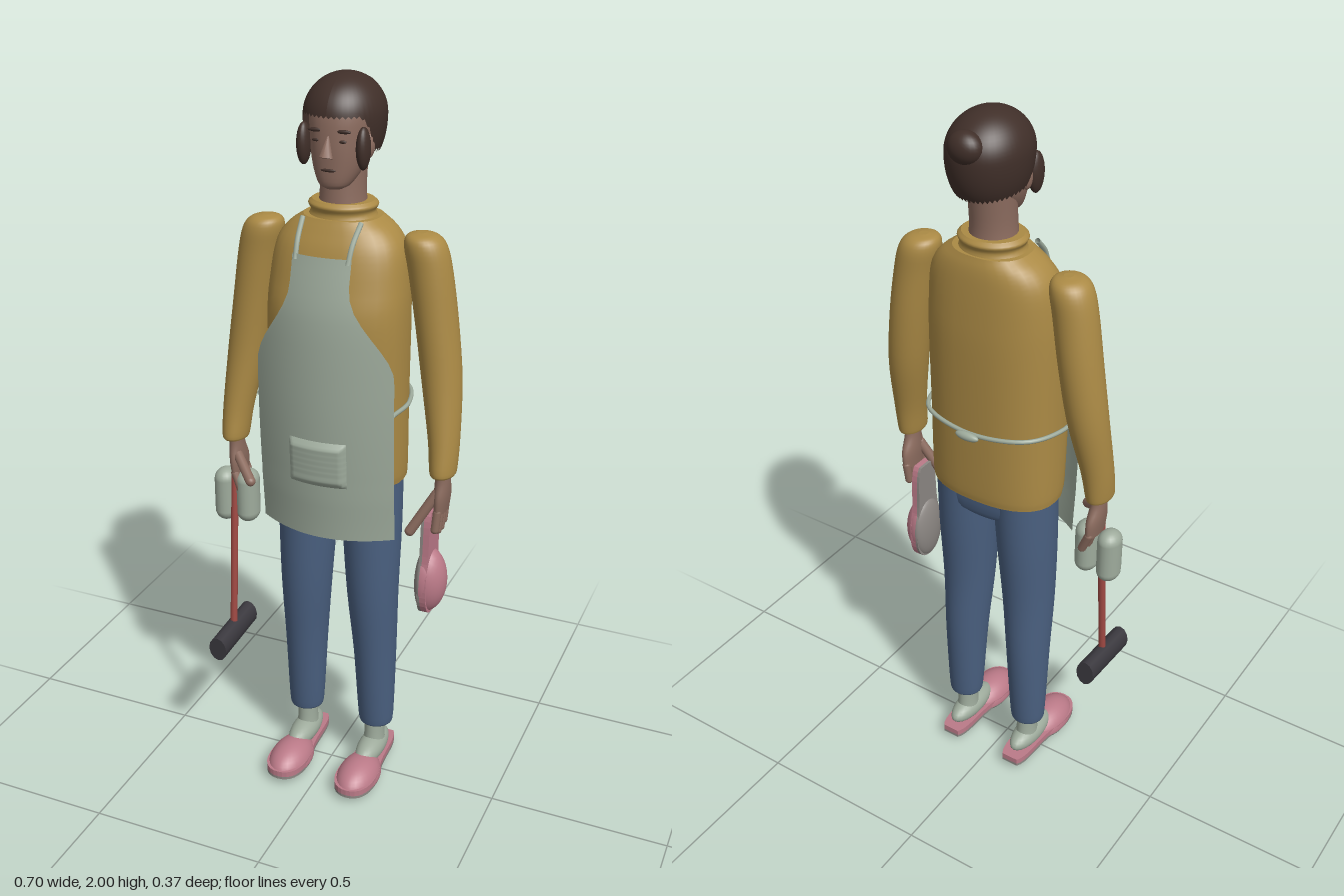
import * as THREE from 'three';

const CX = 0.015; // body axis

export function createModel() {
  const root = new THREE.Group();
  const mat = (name, color, side = THREE.FrontSide) => {
    const m = new THREE.MeshStandardMaterial({ color, side });
    m.name = name;
    return m;
  };
  const M = {
    skin: mat('skin', 0x8c6c5f),
    hair: mat('hair brown', 0x402f29, THREE.DoubleSide),
    knit: mat('mustard knit', 0xab8a45, THREE.DoubleSide),
    cloth: mat('sage cloth', 0x9eab9c, THREE.DoubleSide),
    denim: mat('denim blue', 0x4a6080, THREE.DoubleSide),
    pink: mat('slipper pink', 0xbb7a88, THREE.DoubleSide),
    sole: mat('sole grey', 0x8c8783, THREE.DoubleSide),
    red: mat('handle red', 0xa14a44),
    black: mat('rubber black', 0x3a383e),
  };
  const add = (name, geo, m, parent = root) => {
    const mesh = new THREE.Mesh(geo, m);
    mesh.name = name;
    parent.add(mesh);
    return mesh;
  };
  const V = (x, y, z) => new THREE.Vector3(x, y, z);

  // Smooth skin over superellipse sections [y, x, z, rx, rz], listed bottom to top
  function loft(secs, p = 2, n = 32, sub = 4) {
    const mid = new THREE.CatmullRomCurve3(secs.map(s => V(s[1], s[0], s[2])), false, 'catmullrom');
    const rad = new THREE.CatmullRomCurve3(secs.map(s => V(s[3], s[4], 0)), false, 'catmullrom');
    const rows = (secs.length - 1) * sub, pos = [], idx = [];
    const ring = (i) => {
      const c = mid.getPoint(i / rows), r = rad.getPoint(i / rows);
      for (let j = 0; j < n; j++) {
        const a = j / n * Math.PI * 2, s = Math.sin(a), k = Math.cos(a);
        pos.push(c.x + r.x * Math.sign(s) * Math.abs(s) ** (2 / p), c.y,
          c.z + r.y * Math.sign(k) * Math.abs(k) ** (2 / p));
      }
      return c;
    };
    for (let i = 0; i <= rows; i++) ring(i);
    for (let i = 0; i < rows; i++) for (let j = 0; j < n; j++) {
      const a = i * n + j, b = i * n + (j + 1) % n;
      idx.push(a, b, b + n, a, b + n, a + n);
    }
    for (const i of [0, rows]) { // end caps
      const base = pos.length / 3, c = ring(i);
      pos.push(c.x, c.y, c.z);
      for (let j = 0; j < n; j++) {
        const a = base + j, b = base + (j + 1) % n;
        i ? idx.push(base + n, a, b) : idx.push(base + n, b, a);
      }
    }
    const g = new THREE.BufferGeometry();
    g.setAttribute('position', new THREE.Float32BufferAttribute(pos, 3));
    g.setIndex(idx);
    g.computeVertexNormals();
    return g;
  }
  const ball = (x, y, z, rx, ry, rz) =>
    new THREE.SphereGeometry(1, 24, 16).scale(rx, ry, rz).translate(x, y, z);
  // Round-ended rod between two points
  const rod = (a, b, r) => {
    const d = b.clone().sub(a), L = d.length();
    return new THREE.CapsuleGeometry(r, L, 6, 12)
      .applyQuaternion(new THREE.Quaternion().setFromUnitVectors(V(0, 1, 0), d.divideScalar(L)))
      .translate((a.x + b.x) / 2, (a.y + b.y) / 2, (a.z + b.z) / 2);
  };
  const tube = (pts, r) => new THREE.TubeGeometry(new THREE.CatmullRomCurve3(pts), 40, r, 8);

  // Sweater and collar
  add('sweater', loft([
    [0.955, CX, -0.025, 0.183, 0.115], [1.0, CX, -0.022, 0.186, 0.122], [1.2, CX, -0.016, 0.186, 0.131],
    [1.4, CX, -0.014, 0.187, 0.134], [1.5, CX, -0.022, 0.182, 0.122], [1.58, CX, -0.03, 0.17, 0.108],
    [1.625, CX, -0.037, 0.142, 0.095], [1.655, CX, -0.04, 0.1, 0.083]], 2.4), M.knit);
  add('collar', loft([[1.64, CX, -0.04, 0.098, 0.083], [1.665, CX, -0.04, 0.083, 0.075],
    [1.682, CX, -0.04, 0.09, 0.082], [1.693, CX, -0.04, 0.08, 0.072]]), M.knit);

  // Neck and head
  add('neck', loft([[1.66, CX, -0.038, 0.064, 0.064], [1.72, CX, -0.038, 0.058, 0.06],
    [1.82, CX, -0.045, 0.06, 0.062]]), M.skin);
  add('head', loft([[1.732, CX, 0.018, 0.022, 0.022], [1.745, CX, 0.01, 0.042, 0.043],
    [1.79, CX, -0.015, 0.064, 0.072], [1.85, CX, -0.032, 0.075, 0.09],
    [1.92, CX, -0.04, 0.078, 0.09], [1.97, CX, -0.04, 0.05, 0.06]], 2.2), M.skin);
  add('nose', new THREE.ConeGeometry(0.018, 0.06, 8).rotateX(-0.3).translate(CX, 1.843, 0.062), M.skin);
  add('mouth', ball(CX, 1.782, 0.056, 0.02, 0.004, 0.004), M.hair);
  for (const s of [-1, 1]) {
    add('eye', ball(CX + s * 0.034, 1.852, 0.05, 0.011, 0.004, 0.004), M.hair);
    add('eyebrow', ball(CX + s * 0.036, 1.876, 0.05, 0.02, 0.005, 0.005), M.hair);
    add('ear', ball(CX + s * 0.078, 1.835, -0.015, 0.012, 0.03, 0.018), M.skin);
    add('sideLock', ball(CX + s * 0.078, 1.835, 0.025, 0.017, 0.052, 0.026), M.hair);
  }

  // Hair shell: a sphere whose lower edge follows the hairline
  const hair = new THREE.SphereGeometry(1, 48, 24), hp = hair.attributes.position, uv = hair.attributes.uv;
  for (let i = 0; i < hp.count; i++) {
    const a = uv.getX(i) * Math.PI * 2, front = Math.cos(a);
    const open = THREE.MathUtils.smoothstep(front, 0.15, 0.75);
    const limit = THREE.MathUtils.lerp(2.3 - 0.15 * front, 1.5, open);
    const t = (1 - uv.getY(i)) * limit, c = Math.cos(t);
    const r = c > 0 ? Math.sin(t) : Math.sin(t) ** 0.6;
    hp.setXYZ(i, CX + 0.101 * r * Math.sin(a), 1.9 + c * (c > 0 ? 0.1 : 0.13), -0.05 + 0.12 * r * front);
  }
  // The sweep runs opposite to the sphere's own, so the faces are flipped
  const hi = hair.index.array;
  for (let i = 0; i < hi.length; i += 3) [hi[i], hi[i + 1]] = [hi[i + 1], hi[i]];
  hair.computeVertexNormals();
  const first = V(0, 0, 0).fromBufferAttribute(hair.attributes.normal, 12 * 49 + 12);
  if (first.x * (hp.getX(12 * 49 + 12) - CX) < 0) {
    for (let i = 0; i < hi.length; i += 3) [hi[i], hi[i + 1]] = [hi[i + 1], hi[i]];
    hair.computeVertexNormals();
  }
  add('hair', hair, M.hair);
  add('hairBun', ball(CX, 1.935, -0.15, 0.045, 0.04, 0.035), M.hair);

  // Apron cloth: a grid draped over the front; pockets bulge by off
  const drape = new THREE.SplineCurve([[0.8, 0.118], [1.0, 0.135], [1.2, 0.144], [1.4, 0.142],
    [1.5, 0.127], [1.59, 0.105]].map(q => new THREE.Vector2(...q))).getPoints(60);
  const frontZ = (y) => drape.reduce((b, q) => Math.abs(q.x - y) < Math.abs(b.x - y) ? q : b).y;
  const sheet = (y0, y1, width, off = 0) => {
    const N = 24, g = new THREE.PlaneGeometry(2, 1, N, N), p = g.attributes.position;
    for (let i = 0; i < p.count; i++) {
      const u = p.getX(i), v = p.getY(i) + 0.5, y = y0 + (y1 - y0) * v, d = u * width(y);
      const inside = Math.min(1, 8 * (1 - Math.abs(u)), 8 * v, 8 * (1 - v));
      p.setXYZ(i, CX + d, y, frontZ(y) - 0.065 * (d / 0.19) ** 2 + off * inside);
    }
    g.computeVertexNormals();
    return g;
  };
  add('apron', sheet(0.81, 1.58, y => 0.079 + 0.111 * (1 - THREE.MathUtils.smoothstep(y, 1.27, 1.51))), M.cloth);
  add('apronPocket', sheet(0.97, 1.1, () => 0.08, 0.014), M.cloth);
  add('apronTie', tube([V(CX - 0.188, 1.18, 0.08), V(CX - 0.194, 1.18, -0.02), V(CX - 0.15, 1.185, -0.122),
    V(CX, 1.175, -0.155), V(CX + 0.15, 1.185, -0.122), V(CX + 0.194, 1.18, -0.02), V(CX + 0.188, 1.18, 0.08)], 0.006), M.cloth);
  add('tieBow', ball(CX, 1.173, -0.166, 0.035, 0.012, 0.012), M.cloth);

  // Hips of the trousers
  add('hips', loft([[0.875, CX, -0.027, 0.06, 0.07], [0.91, CX, -0.027, 0.165, 0.096],
    [1.02, CX, -0.027, 0.172, 0.1]], 2.4), M.denim);

  // Slipper with toe towards +z: pink upper side, grey underside
  const outline = new THREE.Shape();
  outline.moveTo(-0.025, 0.13);
  outline.bezierCurveTo(-0.05, 0.1, -0.03, 0, -0.055, -0.06);
  outline.bezierCurveTo(-0.065, -0.13, -0.05, -0.185, 0, -0.185);
  outline.bezierCurveTo(0.05, -0.185, 0.065, -0.13, 0.055, -0.06);
  outline.bezierCurveTo(0.03, 0, 0.05, 0.1, 0.025, 0.13);
  const slab = (y, h) => new THREE.ExtrudeGeometry(outline, { depth: h, bevelEnabled: false, curveSegments: 10 })
    .rotateX(-Math.PI / 2).translate(0, y, 0);
  const half = (top, ry) => new THREE.SphereGeometry(1, 28, 10, 0, Math.PI * 2, top ? 0 : Math.PI / 2, Math.PI / 2)
    .scale(0.06, ry, 0.097).translate(0, 0.026, 0.088);
  const slipper = (name) => {
    const g = new THREE.Group();
    g.name = name;
    add('footbed', slab(0.028, 0.017), M.pink, g);
    add('underside', slab(0.02, 0.008), M.sole, g);
    add('toeCover', half(true, 0.058), M.pink, g);
    add('toeUnderside', half(false, 0.026), M.sole, g);
    root.add(g);
    return g;
  };

  // Limbs, mirrored about the body axis
  for (const s of [-1, 1]) {
    const X = d => CX + s * d, side = s > 0 ? 'left' : 'right';
    add(side + 'Trouser', loft([[0.15, X(0.11), -0.037, 0.044, 0.043], [0.175, X(0.11), -0.037, 0.051, 0.05],
      [0.4, X(0.106), -0.032, 0.06, 0.068], [0.6, X(0.1), -0.022, 0.071, 0.08],
      [0.8, X(0.095), -0.025, 0.08, 0.092], [0.97, X(0.09), -0.028, 0.084, 0.098]]), M.denim);
    add(side + 'SockAnkle', loft([[0.06, X(0.107), -0.035, 0.034, 0.045], [0.1, X(0.107), -0.035, 0.029, 0.035],
      [0.19, X(0.107), -0.035, 0.028, 0.032]]), M.cloth);
    add(side + 'SockFoot', ball(X(0.107), 0.065, -0.018, 0.038, 0.035, 0.095), M.cloth);
    slipper(side + 'Slipper').position.x = X(0.107);

    add(side + 'Sleeve', loft([[1.005, X(0.3), 0, 0.031, 0.046], [1.02, X(0.3), 0, 0.035, 0.05],
      [1.1, X(0.295), -0.012, 0.041, 0.05], [1.25, X(0.276), -0.035, 0.052, 0.057],
      [1.4, X(0.255), -0.042, 0.055, 0.06], [1.53, X(0.235), -0.04, 0.056, 0.058],
      [1.595, X(0.221), -0.038, 0.054, 0.056], [1.622, X(0.213), -0.036, 0.04, 0.042],
      [1.63, X(0.21), -0.036, 0.012, 0.012]]), M.knit);

    // Hand: palm, four fingers and a thumb
    add(side + 'Palm', loft([[0.895, X(0.296), -0.01, 0.016, 0.044], [0.94, X(0.298), -0.008, 0.02, 0.044],
      [0.985, X(0.3), -0.002, 0.02, 0.028], [1.03, X(0.3), 0, 0.02, 0.026]]), M.skin);
    for (let i = 0; i < 4; i++) {
      const z = 0.024 - i * 0.0225, tip = i % 3 ? 0.84 : 0.85;
      add(side + 'Finger', rod(V(X(0.296), 0.9, z), V(X(s > 0 ? 0.293 : 0.275), tip, z + 0.005), 0.0115), M.skin);
    }
    add(side + 'Thumb', s > 0 ? rod(V(X(0.29), 0.95, 0.015), V(X(0.228), 0.84, 0.042), 0.014)
      : rod(V(X(0.29), 0.955, 0.015), V(X(0.225), 0.91, 0.072), 0.014), M.skin);
  }

  // Spare slipper hanging from the left hand, heel up
  const spare = slipper('heldSlipper');
  spare.applyMatrix4(new THREE.Matrix4().makeBasis(V(0, 0, -1), V(1, 0, 0), V(0, -1, 0)).setPosition(0.25, 0.765, -0.005));

  // Mallet and the rolled cloth bundle in the right hand
  add('malletHandle', rod(V(-0.283, 0.42, 0.06), V(-0.283, 0.92, 0.02), 0.01), M.red);
  add('malletHead', new THREE.CylinderGeometry(0.027, 0.027, 0.2, 12).scale(1, 1, 1.4)
    .rotateX(Math.PI / 2 + 0.06).translate(-0.285, 0.405, 0.06), M.black);
  for (const [x, y] of [[-0.319, 0.823], [-0.252, 0.83]])
    add('clothRoll', new THREE.CapsuleGeometry(0.032, 0.095, 8, 20).scale(1, 1, 1.2).translate(x, y, 0.005), M.cloth);

  // Apron neck straps
  for (const s of [-1, 1])
    add('neckStrap', tube([V(CX + s * 0.07, 1.565, 0.1), V(CX + s * 0.073, 1.61, 0.078),
      V(CX + s * 0.078, 1.655, 0.035)], 0.007), M.cloth);

  return root;
}
